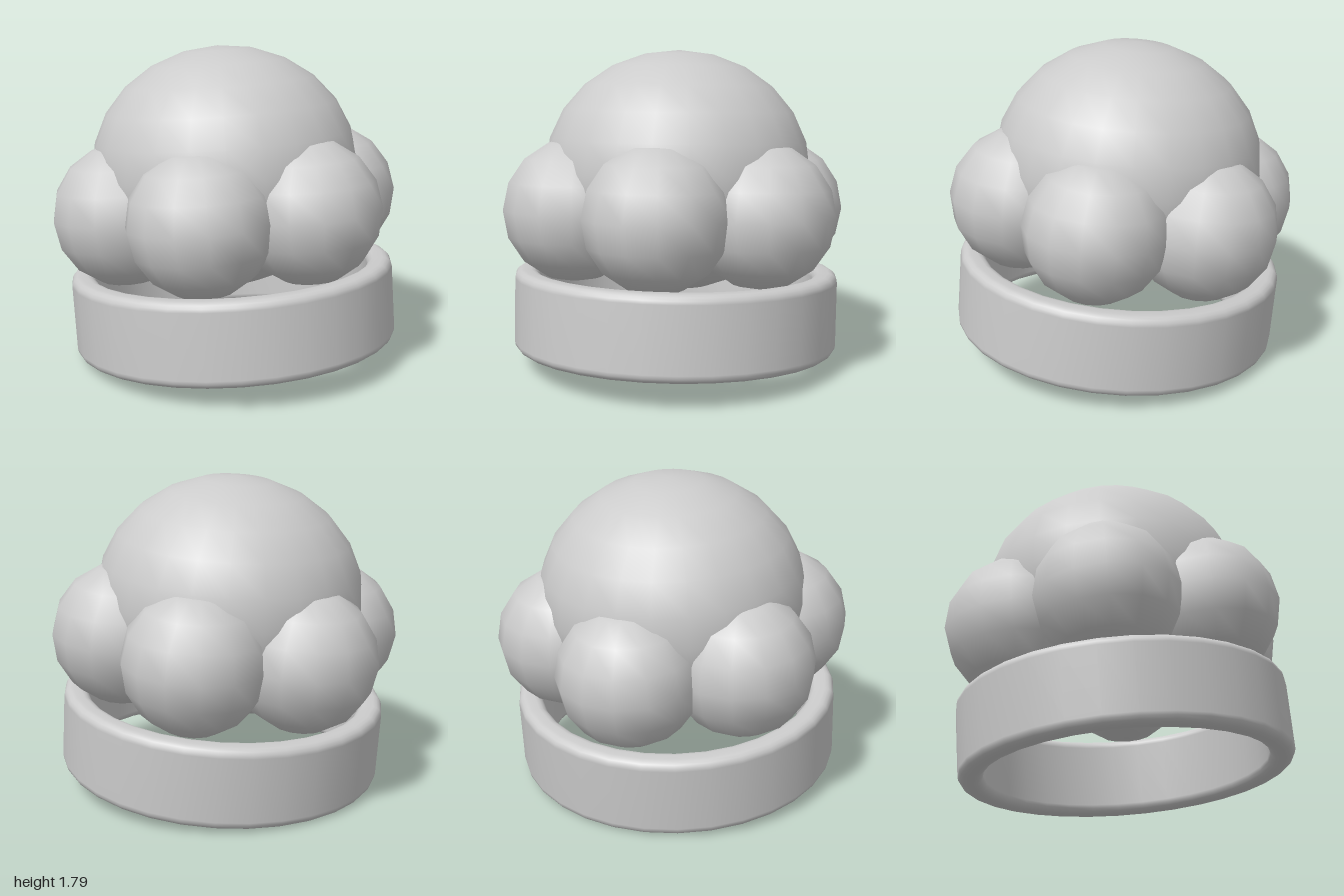
import * as THREE from 'three';

export function createModel() {
  const group = new THREE.Group();
  const mat = new THREE.MeshStandardMaterial({ color: 0xcccccc });
  const add = (geometry, name, x, y, z) => {
    const mesh = new THREE.Mesh(geometry, mat);
    mesh.name = name;
    mesh.position.set(x, y, z);
    group.add(mesh);
    return mesh;
  };

  // Band: rounded rectangular section turned about the axis
  const inner = 0.79, outer = 0.93, half = 0.232, r = 0.05;
  const profile = [];
  const corners = [[outer - r, -half + r, -90], [outer - r, half - r, 0], [inner + r, half - r, 90], [inner + r, -half + r, 180]];
  for (const [cx, cy, start] of corners) {
    for (let i = 0; i <= 4; i++) {
      const a = THREE.MathUtils.degToRad(start + i * 22.5);
      profile.push(new THREE.Vector2(cx + r * Math.cos(a), cy + r * Math.sin(a)));
    }
  }
  profile.push(profile[0].clone());
  add(new THREE.LatheGeometry(profile, 32), 'band', 0, 0, 0);

  // Large, slightly flattened central puff
  const crown = add(new THREE.SphereGeometry(0.76, 24, 12), 'centralPuff', 0, 0.8, 0);
  crown.scale.y = 0.9;

  // Ring of six smaller puffs, one at the front
  const puff = new THREE.SphereGeometry(0.405, 14, 8);
  for (let i = 0; i < 6; i++) {
    const a = (i * Math.PI) / 3;
    add(puff, 'sidePuff' + (i + 1), 0.607 * Math.sin(a), 0.58, 0.607 * Math.cos(a));
  }

  // Everything leans back together
  group.rotation.x = THREE.MathUtils.degToRad(-5);
  group.position.set(0, 0.312, 0.05);
  group.name = 'puffyHat';
  const model = new THREE.Group();
  model.add(group);
  return model;
}
